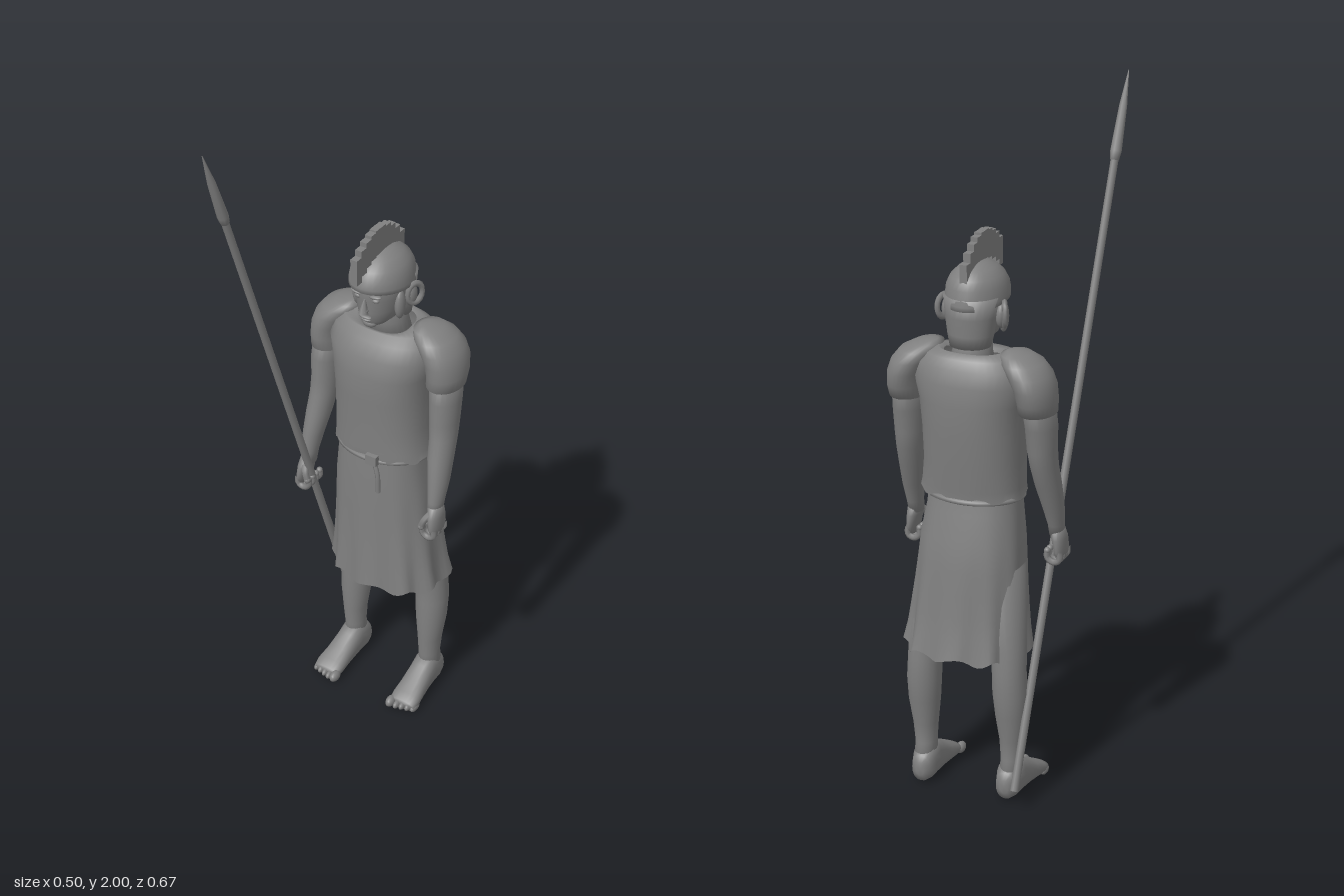
import * as THREE from 'three';

const grey = new THREE.MeshStandardMaterial({ color: 0x808080 });
const greyCloth = grey.clone();
greyCloth.side = THREE.DoubleSide;

// Skin superellipse rings [y, cx, cz, rx, rz], listed bottom to top; rule may move each vertex.
function loft(rings, { n = 20, power = 2, cap = true, rule = null } = {}) {
  const pos = [], index = [], v = new THREE.Vector3();
  const bend = c => Math.sign(c) * Math.abs(c) ** (2 / power);
  rings.forEach(([y, cx, cz, rx, rz], i) => {
    for (let j = 0; j < n; j++) {
      const a = (j / n) * Math.PI * 2;
      v.set(cx + rx * bend(Math.cos(a)), y, cz + rz * bend(Math.sin(a)));
      if (rule) rule(v, a, i / (rings.length - 1));
      pos.push(v.x, v.y, v.z);
      if (i < rings.length - 1) {
        const p = i * n + j, q = i * n + (j + 1) % n;
        index.push(p, p + n, q, q, p + n, q + n);
      }
    }
  });
  if (cap) {
    const last = rings.length - 1, c = n * rings.length;
    for (const r of [rings[0], rings[last]]) pos.push(r[1], r[0], r[2]);
    for (let j = 0; j < n; j++) {
      const k = (j + 1) % n;
      index.push(c, j, k, c + 1, last * n + k, last * n + j);
    }
  }
  const g = new THREE.BufferGeometry();
  g.setAttribute('position', new THREE.Float32BufferAttribute(pos, 3));
  g.setIndex(index);
  g.computeVertexNormals();
  return g;
}

function add(parent, name, geometry, material = grey) {
  const mesh = new THREE.Mesh(geometry, material);
  mesh.name = name;
  parent.add(mesh);
  return mesh;
}

function ball(parent, name, x, y, z, rx, ry, rz) {
  const mesh = add(parent, name, new THREE.SphereGeometry(1, 14, 10));
  mesh.position.set(x, y, z);
  mesh.scale.set(rx, ry, rz);
  return mesh;
}

function tube(parent, name, points, radius, closed = false, segments = 12) {
  const curve = new THREE.CatmullRomCurve3(points.map(p => new THREE.Vector3(...p)), closed);
  return add(parent, name, new THREE.TubeGeometry(curve, segments, radius, 6, closed));
}

// Clothes: upper tunic, pleated skirt, rope belt
function buildClothes(g) {
  add(g, 'tunic', loft([
    [0.905, 0.006, -0.16, 0.152, 0.108], [0.93, 0.005, -0.16, 0.147, 0.11],
    [1.0, 0, -0.165, 0.143, 0.115], [1.1, 0, -0.167, 0.145, 0.123],
    [1.18, 0, -0.168, 0.152, 0.127], [1.24, 0, -0.172, 0.168, 0.12],
    [1.285, 0, -0.178, 0.16, 0.103], [1.31, 0, -0.18, 0.135, 0.085],
    [1.325, 0, -0.18, 0.095, 0.068], [1.315, 0, -0.18, 0.08, 0.06],
  ], {
    n: 40, power: 2.3, cap: false,
    rule: (v, a, t) => { // uneven hem and dipped neckline
      if (t === 0) v.y += 0.008 * Math.sin(9 * a);
      if (t > 0.85) v.y -= 0.022 * Math.max(0, Math.sin(a));
    },
  }), greyCloth);

  add(g, 'skirt', loft([
    [0.435, 0.014, -0.186, 0.176, 0.138], [0.5, 0.012, -0.182, 0.168, 0.132],
    [0.56, 0.01, -0.18, 0.163, 0.128], [0.63, 0.007, -0.178, 0.157, 0.125],
    [0.7, 0.004, -0.176, 0.152, 0.122], [0.78, 0.002, -0.172, 0.146, 0.118],
    [0.86, 0, -0.164, 0.135, 0.107], [0.93, 0, -0.16, 0.128, 0.1],
  ], {
    n: 72, power: 2.4, cap: false,
    rule: (v, a, t) => { // folds deepen towards the hem
      const d = (1 - t) ** 2, fold = 0.055 * d * Math.cos(10 * (a + Math.PI / 2));
      v.x += v.x * fold;
      v.z += (v.z + 0.18) * fold;
      if (t === 0) v.y += 0.01 * Math.cos(10 * (a + Math.PI / 2) + 1);
    },
  }), greyCloth);

  const loop = Array.from({ length: 16 }, (_, i) => {
    const a = i * Math.PI / 8;
    return [0.003 + 0.14 * Math.cos(a), 0.9, -0.16 + 0.106 * Math.sin(a)];
  });
  tube(g, 'belt', loop, 0.009, true, 48);
  add(g, 'beltKnot', new THREE.BoxGeometry(0.036, 0.032, 0.022)).position.set(0.032, 0.908, -0.048);
  tube(g, 'beltTail', [[0.04, 0.9, -0.047], [0.052, 0.86, -0.045], [0.054, 0.8, -0.046]], 0.007);
}

function buildArm(g, s) {
  add(g, 'sleeve', loft([
    [1.175, s * 0.19, -0.175, 0.044, 0.06], [1.165, s * 0.193, -0.178, 0.052, 0.07],
    [1.2, s * 0.194, -0.184, 0.053, 0.079], [1.24, s * 0.188, -0.187, 0.056, 0.084],
    [1.275, s * 0.172, -0.187, 0.06, 0.082], [1.305, s * 0.15, -0.185, 0.058, 0.072],
    [1.325, s * 0.13, -0.183, 0.04, 0.052], [1.332, s * 0.12, -0.182, 0.015, 0.02],
  ], { n: 28 }));
  add(g, 'arm', loft([
    [0.775, s * 0.217, -0.093, 0.021, 0.028], [0.81, s * 0.217, -0.1, 0.023, 0.031],
    [0.87, s * 0.214, -0.116, 0.03, 0.039], [0.94, s * 0.207, -0.136, 0.036, 0.046],
    [1.0, s * 0.203, -0.155, 0.038, 0.049], [1.05, s * 0.2, -0.163, 0.041, 0.052],
    [1.12, s * 0.199, -0.168, 0.044, 0.056], [1.2, s * 0.194, -0.18, 0.044, 0.062],
  ]));
  // Curled hand
  add(g, 'palm', loft([
    [0.705, s * 0.229, -0.088, 0.012, 0.03], [0.73, s * 0.228, -0.088, 0.016, 0.041],
    [0.765, s * 0.223, -0.09, 0.02, 0.038], [0.795, s * 0.218, -0.095, 0.021, 0.028],
  ]));
  for (let i = 0; i < 4; i++) {
    const z = -0.06 - i * 0.019;
    tube(g, 'finger', [[s * 0.233, 0.73, z], [s * 0.232, 0.704, z], [s * 0.215, 0.697, z],
      [s * 0.198, 0.708, z], [s * 0.197, 0.73, z]], 0.0095);
    ball(g, 'fingerTip', s * 0.197, 0.73, z, 0.0095, 0.0095, 0.0095);
  }
  tube(g, 'thumb', [[s * 0.216, 0.775, -0.07], [s * 0.205, 0.757, -0.055], [s * 0.197, 0.733, -0.053]], 0.0105);
  ball(g, 'thumbTip', s * 0.197, 0.733, -0.053, 0.0105, 0.0105, 0.0105);
}

function buildLeg(g, s) {
  add(g, 'leg', loft([
    [0.05, s * 0.134, -0.222, 0.034, 0.042], [0.12, s * 0.134, -0.217, 0.031, 0.037],
    [0.18, s * 0.135, -0.217, 0.036, 0.041], [0.26, s * 0.135, -0.223, 0.046, 0.05],
    [0.33, s * 0.133, -0.228, 0.05, 0.053], [0.4, s * 0.13, -0.228, 0.049, 0.052],
    [0.47, s * 0.125, -0.22, 0.052, 0.054], [0.7, s * 0.085, -0.18, 0.07, 0.075],
  ]));
  // Foot skinned from heel to toe, then laid forward
  const foot = loft([
    [-0.27, s * 0.132, -0.045, 0.012, 0.02], [-0.262, s * 0.132, -0.045, 0.028, 0.04],
    [-0.235, s * 0.132, -0.055, 0.037, 0.055], [-0.2, s * 0.133, -0.058, 0.038, 0.058],
    [-0.165, s * 0.134, -0.047, 0.039, 0.047], [-0.12, s * 0.136, -0.034, 0.042, 0.034],
    [-0.08, s * 0.138, -0.024, 0.046, 0.024], [-0.055, s * 0.138, -0.018, 0.042, 0.016],
  ], { power: 2.4 });
  foot.rotateX(Math.PI / 2);
  add(g, 'foot', foot);
  for (let i = 0; i < 5; i++) {
    const r = i ? 0.0095 : 0.014;
    ball(g, 'toe', s * (i ? 0.105 + i * 0.0175 : 0.102), r + 0.003, -0.052 - i * 0.005, r, r + 0.003, 0.023);
  }
}

function buildHead(g) {
  add(g, 'neck', loft([
    [1.26, 0, -0.185, 0.07, 0.06], [1.32, 0, -0.18, 0.055, 0.055], [1.4, 0, -0.17, 0.053, 0.06],
  ]));
  add(g, 'head', loft([
    [1.335, 0, -0.105, 0.016, 0.02], [1.343, 0, -0.12, 0.034, 0.045],
    [1.36, 0, -0.145, 0.053, 0.082], [1.39, 0, -0.152, 0.064, 0.094],
    [1.43, 0, -0.153, 0.072, 0.097], [1.47, 0, -0.15, 0.076, 0.099],
    [1.52, 0, -0.148, 0.06, 0.08],
  ], { n: 28 }));
  const nose = add(g, 'nose', new THREE.ConeGeometry(0.014, 0.055, 6));
  nose.position.set(0, 1.42, -0.054);
  nose.rotation.x = -0.2;
  ball(g, 'noseTip', 0, 1.4, -0.052, 0.012, 0.009, 0.013);
  ball(g, 'upperLip', 0, 1.377, -0.06, 0.02, 0.005, 0.009);
  ball(g, 'lowerLip', 0, 1.367, -0.063, 0.016, 0.005, 0.009);
  ball(g, 'chin', 0, 1.347, -0.082, 0.022, 0.014, 0.016);
  for (const s of [-1, 1]) {
    ball(g, 'eye', s * 0.028, 1.435, -0.067, 0.012, 0.007, 0.009);
    ball(g, 'brow', s * 0.03, 1.45, -0.062, 0.02, 0.006, 0.01).rotation.z = s * 0.12;
    ball(g, 'ear', s * 0.08, 1.42, -0.168, 0.015, 0.035, 0.022);
    const rim = add(g, 'earRim', new THREE.TorusGeometry(0.024, 0.008, 6, 16));
    rim.position.set(s * 0.09, 1.427, -0.17);
    rim.rotation.y = Math.PI / 2 - s * 0.45;
    rim.scale.y = 1.3;
    // Cheek guard in front of the ear
    ball(g, 'cheekGuard', s * 0.069, 1.405, -0.128, 0.014, 0.045, 0.02);
  }
}

function buildHelmet(g) {
  add(g, 'helmet', loft([
    [1.462, 0, -0.145, 0.078, 0.104], [1.462, 0, -0.145, 0.086, 0.111],
    [1.475, 0, -0.145, 0.086, 0.111], [1.5, 0, -0.145, 0.082, 0.106],
    [1.525, 0, -0.146, 0.07, 0.092], [1.545, 0, -0.147, 0.05, 0.068],
    [1.557, 0, -0.148, 0.025, 0.036], [1.561, 0, -0.148, 0.004, 0.006],
  ], {
    n: 32, rule: (v, a, t) => { // rim rises over the brow
      if (t < 0.3) v.y += 0.012 * Math.sin(a) - 0.006;
    },
  }));
  add(g, 'neckGuard', loft([
    [1.335, 0, -0.195, 0.058, 0.052], [1.37, 0, -0.192, 0.066, 0.057],
    [1.42, 0, -0.19, 0.073, 0.063], [1.475, 0, -0.188, 0.079, 0.066],
  ], { n: 24 }));
  // Crest of upright blocks in an arc
  for (let i = 0; i < 10; i++) {
    const z = -0.0125 - i * 0.0238, u = (z + 0.118) / 0.106;
    add(g, 'crestBlock', new THREE.BoxGeometry(0.021, 0.08, 0.0255))
      .position.set(0, 1.597 - (u > 0 ? 0.047 : 0.062) * u * u, z);
  }
}

function buildSpear(g) {
  const spear = new THREE.Group();
  spear.name = 'spear';
  const foot = new THREE.Vector3(-0.18, 0.062, -0.305), tip = new THREE.Vector3(-0.241, 2, 0.335);
  const length = foot.distanceTo(tip);
  spear.position.copy(foot);
  spear.quaternion.setFromUnitVectors(new THREE.Vector3(0, 1, 0), tip.clone().sub(foot).normalize());
  add(spear, 'shaft', new THREE.CylinderGeometry(0.011, 0.012, length - 0.2, 10))
    .position.y = (length - 0.2) / 2;
  add(spear, 'spearhead', loft([
    [length - 0.25, 0, 0, 0.013, 0.013], [length - 0.225, 0, 0, 0.017, 0.015],
    [length - 0.1, 0, 0, 0.012, 0.011], [length, 0, 0, 0.001, 0.001],
  ], { n: 8 }));
  g.add(spear);
}

export function createModel() {
  const model = new THREE.Group();
  model.name = 'spearman';
  const section = (name, build, s) => {
    const part = new THREE.Group();
    part.name = name;
    build(part, s);
    model.add(part);
  };
  section('clothes', buildClothes);
  section('head', buildHead);
  section('helmet', buildHelmet);
  for (const [side, s] of [['left', 1], ['right', -1]]) {
    section(side + 'Arm', buildArm, s);
    section(side + 'Leg', buildLeg, s);
  }
  section('weapon', buildSpear);
  return model;
}
